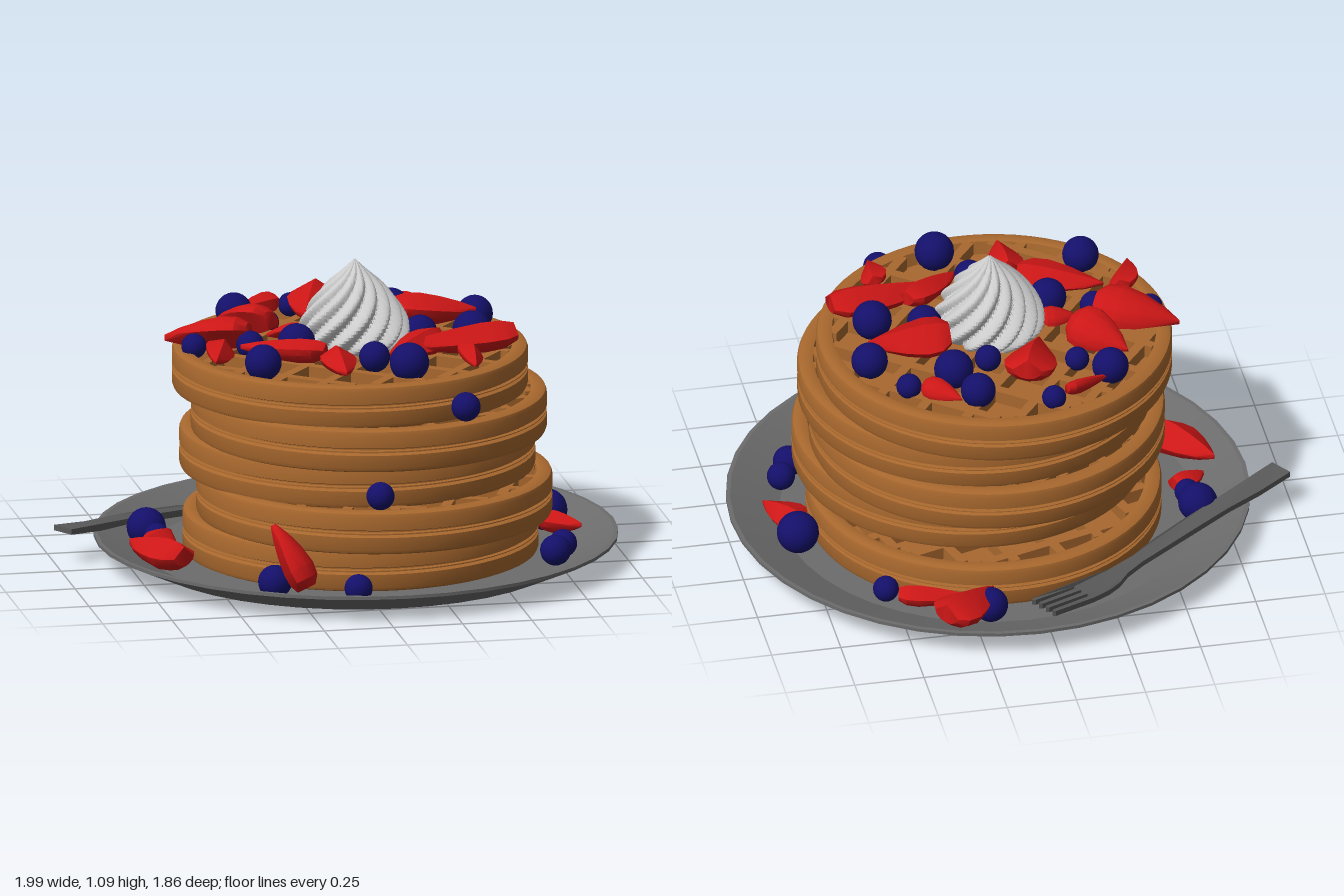
import * as THREE from 'three';
import { toCreasedNormals } from 'three/addons/utils/BufferGeometryUtils.js';
import { ConvexGeometry } from 'three/addons/geometries/ConvexGeometry.js';

const mat = (color, side = THREE.FrontSide) => new THREE.MeshStandardMaterial({ color, side });
const plateMat = mat(0x6c6c6c), forkMat = mat(0x5a5a5a), creamMat = mat(0xcccccc);
const waffleMat = mat(0xa8682e), berryMat = mat(0x14106a), fruitMat = mat(0xcc1616);

function add(parent, name, geometry, material) {
  const mesh = new THREE.Mesh(geometry, material);
  mesh.name = name;
  parent.add(mesh);
  return mesh;
}

const lathe = (pts, segments) =>
  new THREE.LatheGeometry(pts.map(([r, y]) => new THREE.Vector2(r, y)), segments);

// Shallow dish with a sloping wall
function plate() {
  return toCreasedNormals(lathe([[0, 0], [0.745, 0], [0.93, 0.083], [0.93, 0.095],
    [0.915, 0.095], [0.74, 0.022], [0, 0.022]], 40), 0.3);
}

// Round waffle: rim with a seam, thin core, and a grid of ridges on both faces
const THICK = 0.155;
const half = [[0, 0.05], [0.565, 0.05], [0.575, 0.003], [0.585, 0], [0.612, 0], [0.626, 0.006],
  [0.631, 0.018], [0.631, 0.064], [0.615, 0.07], [0.615, 0.074], [0.63, 0.076]];
const waffleGeo = toCreasedNormals(
  lathe([...half, ...half.map(([r, y]) => [r, THICK - y]).reverse()], 72), 0.5);

function waffle(x, y, z, angle) {
  const g = new THREE.Group();
  g.name = 'waffle';
  add(g, 'waffleBody', waffleGeo, waffleMat);
  for (const turn of [0, Math.PI / 2]) {
    for (let k = -3; k <= 3; k++) {
      const o = k * 0.168;
      const bar = add(g, 'waffleRidge',
        new THREE.BoxGeometry(2 * Math.sqrt(0.575 ** 2 - o * o), THICK - 0.006, 0.036), waffleMat);
      bar.rotation.y = turn;
      bar.position.set(o * Math.sin(turn), THICK / 2, o * Math.cos(turn));
    }
  }
  g.position.set(x, y, z);
  g.rotation.y = angle;
  return g;
}

// Piped cream: a lathe pushed into twisted flutes
function cream() {
  const curve = new THREE.SplineCurve([[0.14, 0], [0.19, 0.05], [0.188, 0.11], [0.15, 0.18],
    [0.1, 0.24], [0.05, 0.285], [0.002, 0.33]].map(([r, y]) => new THREE.Vector2(r, y)));
  const geo = new THREE.LatheGeometry(curve.getPoints(32), 144);
  const p = geo.attributes.position;
  for (let i = 0; i < p.count; i++) {
    const x = p.getX(i), y = p.getY(i), z = p.getZ(i);
    const a = Math.atan2(z, x) + y * 5.5;
    const s = 0.82 + 0.2 * Math.abs(Math.sin(a * 6));
    p.setXYZ(i, x * s, y, z * s);
  }
  return toCreasedNormals(geo, 0.6);
}

// Fork: flat outline extruded, then bent to rest on the dish. Stations: length, half width, height
const stations = [[0, 0.045, 0.112], [0.15, 0.041, 0.098], [0.3, 0.037, 0.095], [0.45, 0.036, 0.086],
  [0.6, 0.034, 0.074], [0.72, 0.026, 0.058], [0.8, 0.03, 0.048], [0.86, 0.05, 0.044],
  [0.92, 0.059, 0.044], [1.0, 0.061, 0.05], [1.2, 0.056, 0.08]];
function forkHeight(s) {
  const i = Math.max(1, stations.findIndex((st) => st[0] >= s - 1e-4));
  const [a, , ya] = stations[i - 1], [b, , yb] = stations[i];
  return ya + (yb - ya) * (s - a) / (b - a);
}
function fork() {
  const body = stations.slice(0, -1);
  const outline = body.map(([s, w]) => [s, -w]);
  for (let k = 0; k < 4; k++) {
    const c = -0.051 + k * 0.034;
    if (k > 0) outline.push([1.0, c - 0.01]);
    outline.push([1.19, c - 0.008], [1.2, c], [1.19, c + 0.008]);
    if (k < 3) outline.push([1.0, c + 0.01]);
  }
  outline.push(...body.map(([s, w]) => [s, w]).reverse());
  const shape = new THREE.Shape(outline.map(([s, w]) => new THREE.Vector2(s, w)));
  const geo = new THREE.ExtrudeGeometry(shape, { depth: 0.02, bevelEnabled: false });
  geo.rotateX(-Math.PI / 2);
  const p = geo.attributes.position;
  for (let i = 0; i < p.count; i++) p.setY(i, p.getY(i) + forkHeight(p.getX(i)));
  return toCreasedNormals(geo, 0.5);
}

// Strawberry wedge of unit length and width: tip at -z, cut faces meet in a ridge on top
function wedge() {
  const pts = [];
  for (const [z, r] of [[-0.5, 0.03], [-0.3, 0.45], [-0.05, 0.8], [0.2, 1], [0.38, 0.92], [0.5, 0.55]]) {
    pts.push(new THREE.Vector3(0, 0.12 + 0.26 * r, z));
    for (let k = 0; k <= 6; k++) {
      const a = Math.PI * (1 + k / 6);
      pts.push(new THREE.Vector3(0.5 * r * Math.cos(a), 0.4 * r * Math.sin(a), z));
    }
  }
  return toCreasedNormals(new ConvexGeometry(pts), 0.6);
}

// Topping berries: x, z, radius
const topBerries = [[-0.3, -0.38, 0.065], [-0.07, -0.51, 0.043], [-0.2, -0.28, 0.043], [0.19, -0.44, 0.062],
  [0.42, -0.34, 0.045], [0.25, -0.3, 0.07], [0.11, -0.22, 0.047], [0.53, -0.18, 0.065], [0.47, 0.07, 0.07],
  [0.29, 0.03, 0.062], [0.07, 0.31, 0.055], [0.165, 0.465, 0.07], [-0.17, 0.1, 0.067], [-0.34, 0.35, 0.065],
  [-0.325, 0.04, 0.05], [-0.52, 0, 0.045]];
// Fallen berries: x, y, z, radius
const looseBerries = [[0.34, 0.69, 0.61, 0.052], [0.015, 0.4, 0.69, 0.05], [-0.63, 0.08, -0.12, 0.045],
  [-0.65, 0.09, -0.21, 0.07], [-0.35, 0.085, 0.61, 0.06], [-0.07, 0.075, 0.72, 0.05],
  [0.78, 0.1, -0.135, 0.075], [0.76, 0.08, 0.265, 0.05], [0.715, 0.08, 0.355, 0.055],
  [0.54, 0.075, -0.52, 0.046], [0.2, 0.085, -0.71, 0.062]];
// Wedges: tip x, y, z, broad end x, y, z, width, roll
const topWedges = [[0.19, 0.82, 0.25, 0.6, 0.84, 0.18, 0.17, 0], [0.12, 0.81, 0.32, 0.33, 0.84, 0.16, 0.14, 0.3],
  [-0.38, 0.82, 0.14, -0.1, 0.83, 0.28, 0.14, -0.3], [-0.07, 0.8, 0.51, -0.07, 0.83, 0.3, 0.13, 0],
  [-0.5, 0.81, 0.29, -0.44, 0.83, 0.11, 0.11, 0.4], [-0.6, 0.81, -0.13, -0.32, 0.84, 0, 0.19, 2.8],
  [-0.38, 0.82, -0.29, -0.22, 0.85, -0.11, 0.17, 2.6], [-0.08, 0.83, -0.19, 0.01, 0.87, -0.43, 0.19, 0],
  [-0.28, 0.81, -0.43, -0.12, 0.82, -0.5, 0.08, 1], [0.26, 0.82, -0.49, 0.37, 0.82, -0.37, 0.09, 2.6],
  [0.52, 0.84, -0.11, 0.23, 0.87, -0.13, 0.19, 0.2], [0.4, 0.8, 0.48, 0.41, 0.83, 0.31, 0.1, 0.4],
  [-0.25, 0.82, -0.04, -0.12, 0.83, -0.04, 0.09, 2.8]];
const plateWedges = [[-0.76, 0.1, 0.04, -0.61, 0.1, 0.27, 0.18, 0], [-0.71, 0.08, -0.02, -0.59, 0.09, -0.08, 0.12, 0.3],
  [-0.36, 0.31, 0.66, -0.26, 0.09, 0.74, 0.18, 2.9], [0.18, 0.11, -0.66, 0.38, 0.13, -0.81, 0.19, 0],
  [0.27, 0.09, -0.66, 0.51, 0.1, -0.6, 0.12, 0.2], [0.86, 0.09, 0.09, 0.75, 0.09, -0.04, 0.13, 0.2]];

export function createModel() {
  const model = new THREE.Group();
  model.name = 'waffleStackOnPlate';

  add(model, 'plate', plate(), plateMat).position.x = 0.065;
  const forkMesh = add(model, 'fork', fork(), forkMat);
  forkMesh.position.set(-0.972, 0, -0.11);
  forkMesh.rotation.y = 0.588;

  [[0.085, 0.027, -0.015, 0.3], [0.11, 0.193, 0.108, 1.2], [0.07, 0.337, 0, 0.6],
    [0.1, 0.481, 0.057, 0.2], [0.045, 0.627, -0.008, 0.9]].forEach((w) => model.add(waffle(...w)));

  add(model, 'whippedCream', cream(), creamMat).position.set(0.06, 0.76, 0);

  const sphere = new THREE.SphereGeometry(1, 24, 16);
  const berries = topBerries.map(([x, z, r]) => [x, 0.755 + r, z, r]).concat(looseBerries);
  for (const [x, y, z, r] of berries) {
    const b = add(model, 'blueberry', sphere, berryMat);
    b.position.set(x, y, z);
    b.scale.setScalar(r);
  }

  const slice = wedge();
  for (const [ax, ay, az, bx, by, bz, width, roll] of [...topWedges, ...plateWedges]) {
    const tip = new THREE.Vector3(ax, ay, az), end = new THREE.Vector3(bx, by, bz);
    const s = add(model, 'strawberrySlice', slice, fruitMat);
    s.position.copy(tip).lerp(end, 0.5);
    s.lookAt(end);
    s.rotateZ(roll);
    s.scale.set(width, width * 0.8, tip.distanceTo(end));
  }
  return model;
}
